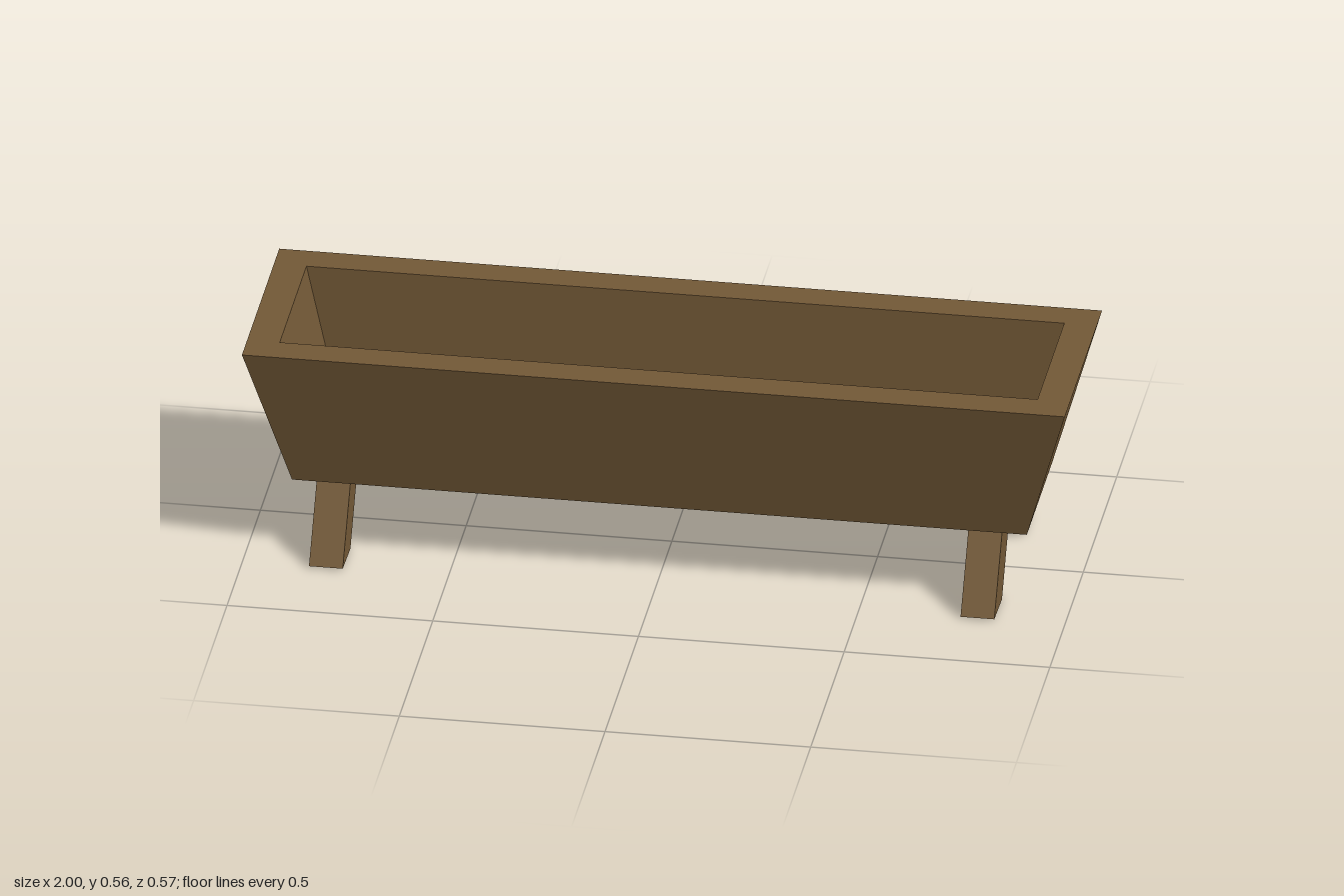
import * as THREE from 'three';

// Closed flat-faced solid from rectangular rings [halfX, y, halfZ], capped at both ends
function ringSolid(rings) {
  const corners = [[1, 1], [1, -1], [-1, -1], [-1, 1]];
  const loops = rings.map(([hx, y, hz]) => corners.map(([sx, sz]) => [sx * hx, y, sz * hz]));
  const pos = [];
  const quad = (a, b, c, d) => pos.push(...a, ...b, ...c, ...a, ...c, ...d);
  for (let r = 0; r < loops.length - 1; r++) {
    const lo = loops[r], hi = loops[r + 1];
    for (let i = 0; i < 4; i++) {
      const j = (i + 1) % 4;
      quad(lo[i], lo[j], hi[j], hi[i]);
    }
  }
  quad(...loops[loops.length - 1]);
  quad(...loops[0].slice().reverse());
  const geo = new THREE.BufferGeometry();
  geo.setAttribute('position', new THREE.Float32BufferAttribute(pos, 3));
  geo.computeVertexNormals();
  return geo;
}

// Slanted leg: a side outline in (z, y) extruded along x
function legGeometry(side) {
  const outline = [[0.285, 0.005], [0.155, 0.2], [0.039, 0.2], [0.17, 0]];
  const shape = new THREE.Shape(outline.map(([z, y]) => new THREE.Vector2(-z * side, y)));
  const geo = new THREE.ExtrudeGeometry(shape, { depth: 0.082, bevelEnabled: false });
  geo.translate(0, 0, -0.041);
  geo.rotateY(Math.PI / 2);
  return geo;
}

export function createModel() {
  const model = new THREE.Group();
  model.name = 'trough';
  const wood = new THREE.MeshStandardMaterial({ color: 0x725836 });
  wood.name = 'brown wood';

  // Hollow basin: underside, flared walls, rim, inner walls, floor
  const basin = new THREE.Mesh(ringSolid([
    [0.893, 0.188, 0.188],
    [1.0, 0.563, 0.279],
    [0.921, 0.563, 0.2],
    [0.853, 0.27, 0.186],
  ]), wood);
  basin.name = 'basin';
  basin.position.z = -0.002;
  model.add(basin);

  // Four splayed legs, the front right one set slightly further in
  for (const x of [-0.796, 0.789]) {
    for (const side of [1, -1]) {
      const leg = new THREE.Mesh(legGeometry(side), wood);
      leg.name = (side > 0 ? 'front' : 'back') + (x > 0 ? 'Left' : 'Right') + 'Leg';
      leg.position.x = x;
      if (x < 0 && side > 0) leg.position.z = -0.008;
      model.add(leg);
    }
  }
  return model;
}
